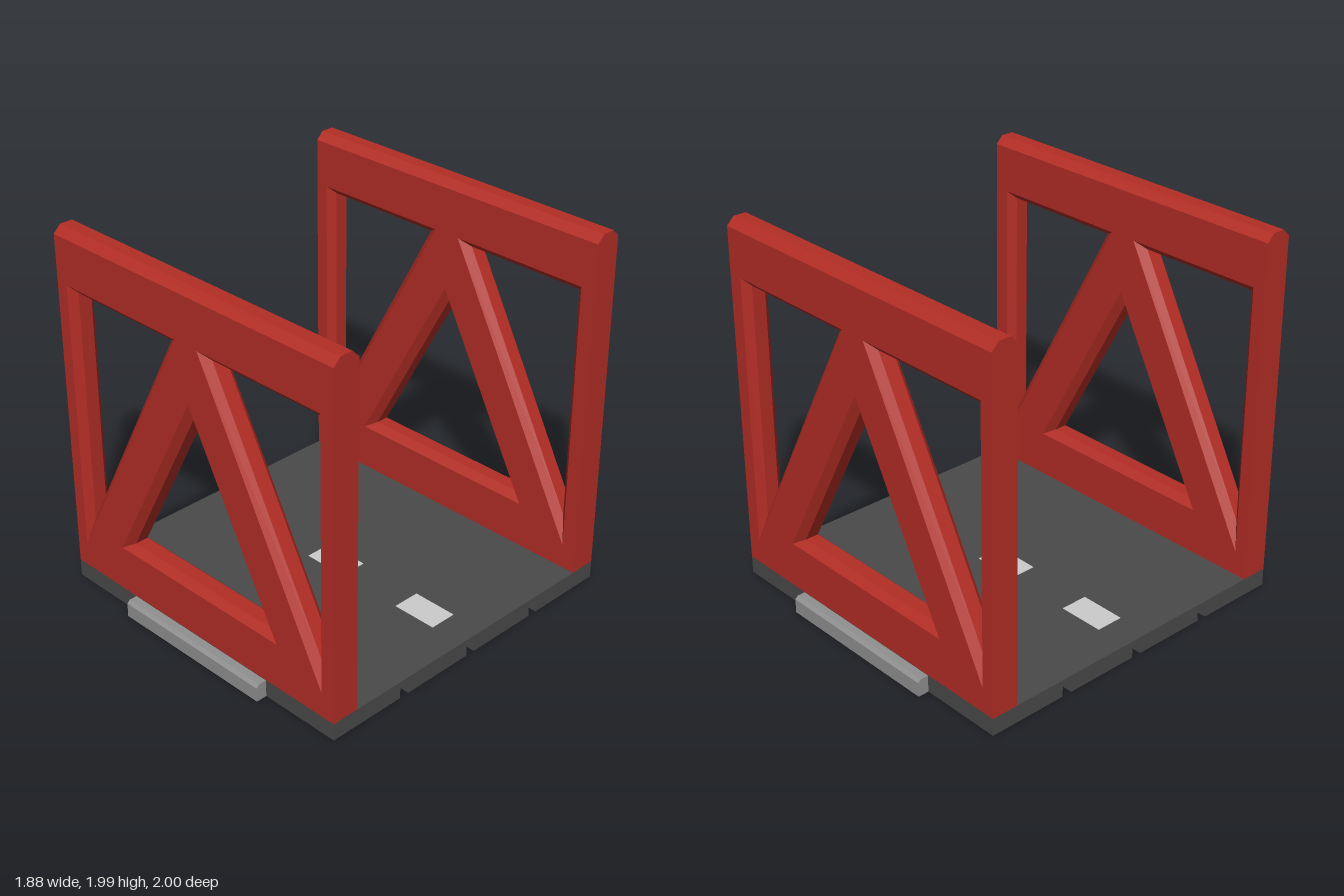
import * as THREE from 'three';
import { mergeGeometries } from 'three/addons/utils/BufferGeometryUtils.js';

const HALF = 0.94;        // half width of deck and trusses
const DECK = 0.095;       // deck thickness
const TOP = 1.985;        // top of the trusses
const HT = 0.075;         // half thickness of a truss
const BEVEL = 0.038;

const mat = (color) => new THREE.MeshStandardMaterial({ color, flatShading: true });
const red = mat(0xb32d25);
const asphalt = mat(0x4a4a4a);
const concrete = mat(0x909090);
const paint = mat(0xc0c0c0);

function add(parent, name, geometry, material) {
  const mesh = new THREE.Mesh(geometry, material);
  mesh.name = name;
  parent.add(mesh);
  return mesh;
}

// Joins closed rings of equal length, each { z, pts }, into a band
function band(rings) {
  const pos = [];
  for (let r = 0; r + 1 < rings.length; r++) {
    const lo = rings[r], hi = rings[r + 1], n = lo.pts.length;
    for (let i = 0; i < n; i++) {
      const j = (i + 1) % n;
      const a = [...lo.pts[i], lo.z], b = [...lo.pts[j], lo.z];
      const c = [...hi.pts[j], hi.z], d = [...hi.pts[i], hi.z];
      pos.push(...a, ...b, ...c, ...a, ...c, ...d);
    }
  }
  const g = new THREE.BufferGeometry();
  g.setAttribute('position', new THREE.Float32BufferAttribute(pos, 3));
  g.computeVertexNormals();
  return g;
}

// Shrinks a triangle evenly by d, about its incentre
function insetTriangle(pts, d) {
  const [a, b, c] = pts.map((p) => new THREE.Vector2(...p));
  const la = b.distanceTo(c), lb = c.distanceTo(a), lc = a.distanceTo(b);
  const per = la + lb + lc;
  const centre = new THREE.Vector2().addScaledVector(a, la / per)
    .addScaledVector(b, lb / per).addScaledVector(c, lc / per);
  const area = Math.abs(b.clone().sub(a).cross(c.clone().sub(a))) / 2;
  const k = 1 - d * per / (2 * area);
  return [a, b, c].map((p) => p.sub(centre).multiplyScalar(k).add(centre).toArray());
}

const outline = (top) => [[-HALF, DECK], [HALF, DECK], [HALF, top], [-HALF, top]];

// Triangular openings, wound clockwise
function openings(shift) {
  const side = [[-0.865, 1.70], [-0.075, 1.70], [-0.865, 0.23]];
  const middle = [[-0.566, 0.345], [0, 1.395], [0.566, 0.345]];
  const mirrored = side.map(([x, y]) => [-x, y]).reverse();
  return [side, middle, mirrored].map((t) => t.map(([x, y]) => [x + shift, y]));
}

function face(shift) {
  const vec = (pts) => pts.map((p) => new THREE.Vector2(...p));
  const shape = new THREE.Shape(vec(outline(TOP - 0.04)));
  for (const t of openings(shift)) shape.holes.push(new THREE.Path(vec(t)));
  const g = new THREE.ShapeGeometry(shape).toNonIndexed().translate(0, 0, HT);
  g.deleteAttribute('uv');
  return g;
}

// Side truss: two faces, chamfered rim and bevelled openings
function trussGeometry() {
  const shift = -0.005, inner = HT - BEVEL;
  const parts = [face(shift), face(-shift).rotateY(Math.PI)];
  parts.push(band([
    { z: -HT, pts: outline(TOP - 0.04) }, { z: -0.035, pts: outline(TOP) },
    { z: 0.035, pts: outline(TOP) }, { z: HT, pts: outline(TOP - 0.04) },
  ]));
  for (const t of openings(shift)) {
    const small = insetTriangle(t, BEVEL);
    parts.push(band([
      { z: -HT, pts: t }, { z: -inner, pts: small },
      { z: inner, pts: small }, { z: HT, pts: t },
    ]));
  }
  return mergeGeometries(parts);
}

// Lower deck layer with three slots in each side edge
function notchedLayer(height) {
  const edge = [];
  for (const z of [-0.47, 0, 0.47]) {
    edge.push([HALF, z - 0.028], [HALF - 0.1, z - 0.028], [HALF - 0.1, z + 0.028], [HALF, z + 0.028]);
  }
  const right = [[HALF, -HALF], ...edge, [HALF, HALF]];
  const pts = [...right, ...right.map(([x, z]) => [-x, -z])];
  const shape = new THREE.Shape(pts.map((p) => new THREE.Vector2(...p)));
  return new THREE.ExtrudeGeometry(shape, { depth: height, bevelEnabled: false }).rotateX(-Math.PI / 2);
}

// Kerb profile in (z, y), extruded along x, with a chamfered outer edge
function kerbGeometry() {
  const shape = new THREE.Shape([[HALF, 0], [1, 0], [1, 0.077], [0.983, 0.093], [HALF, 0.093]]
    .map((p) => new THREE.Vector2(...p)));
  return new THREE.ExtrudeGeometry(shape, { depth: 0.965, bevelEnabled: false })
    .rotateY(-Math.PI / 2).translate(0.4825, 0, 0);
}

export function createModel() {
  const model = new THREE.Group();
  model.name = 'bridgeSection';

  const deck = new THREE.Group();
  deck.name = 'deck';
  model.add(deck);
  const slotTop = 0.08;
  add(deck, 'deckBase', notchedLayer(slotTop), asphalt);
  add(deck, 'roadSurface', new THREE.BoxGeometry(2 * HALF, DECK - slotTop, 2 * HALF), asphalt)
    .position.y = (DECK + slotTop) / 2;

  // Dashed centre line
  for (const x of [-0.63, 0, 0.63]) {
    add(deck, 'laneMarking', new THREE.BoxGeometry(0.253, 0.004, 0.153), paint)
      .position.set(x - 0.003, DECK, -0.004);
  }

  // Matching truss and kerb at front and back
  const truss = trussGeometry(), kerb = kerbGeometry();
  for (const s of [1, -1]) {
    const name = s > 0 ? 'front' : 'back';
    add(model, name + 'Truss', truss, red).position.z = s * (HALF - HT);
    add(model, name + 'Kerb', kerb, concrete).rotation.y = s > 0 ? 0 : Math.PI;
  }
  return model;
}
